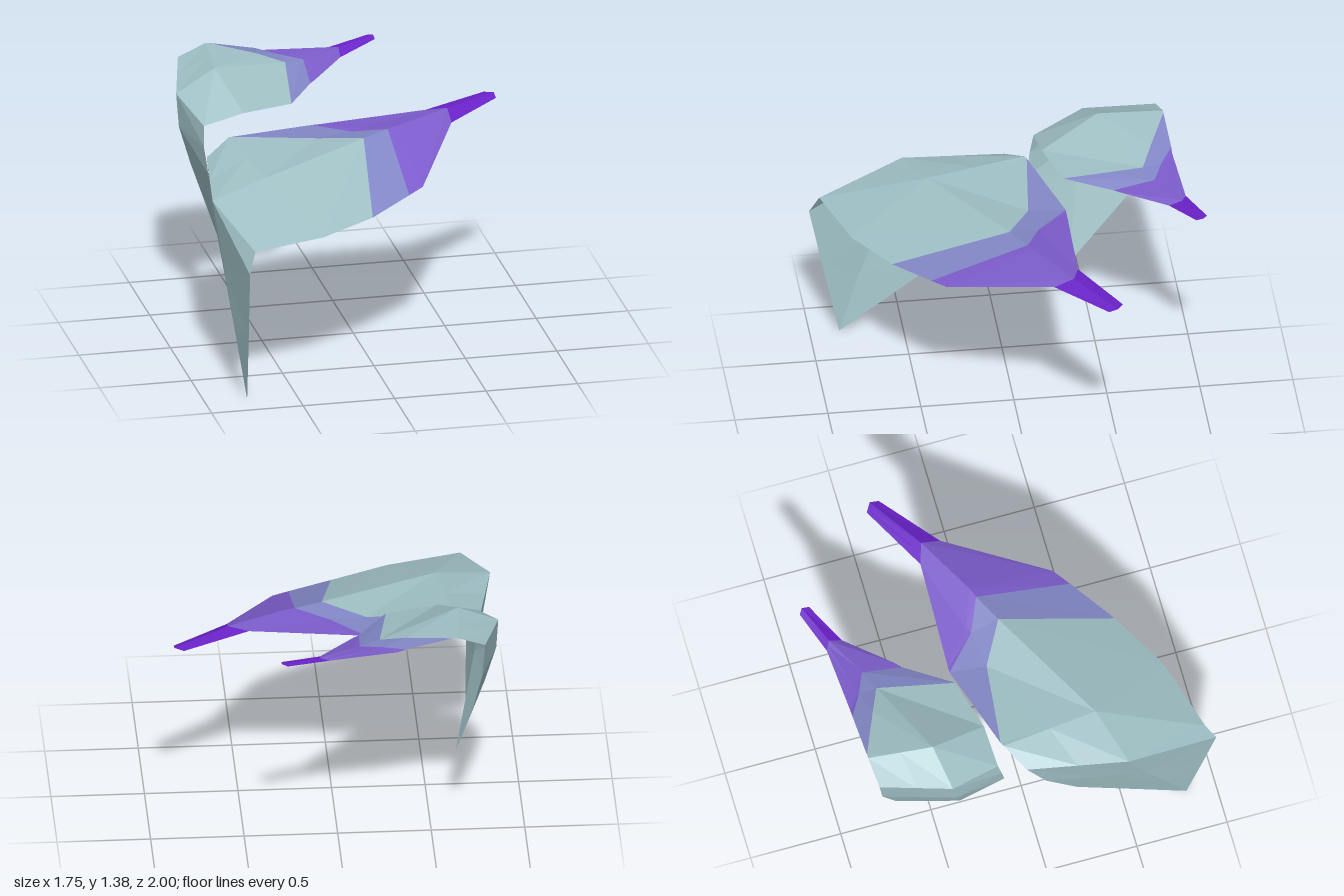
import * as THREE from 'three';

const mat = (name, color) => new THREE.MeshStandardMaterial({ name, color, side: THREE.DoubleSide, flatShading: true });

// Cross-sections from stem end to drooping tip: back edge, (inner fold), midrib, front edge.
const largeLeaf = [
  [[0.82, 1.13, -0.48], [0.87, 1.135, -0.45], [0.87, 1.12, -0.4]],
  [[0.46, 1.13, -0.285], [0.57, 1.145, -0.25], [0.57, 1.1, -0.145]],
  [[-0.13, 1.09, -0.3], [0.06, 1.105, -0.15], [0.25, 1.135, -0.07], [0.29, 0.96, 0.4]],
  [[-0.16, 1.09, -0.3], [0.02, 1.1, -0.13], [0.2, 1.13, -0.05], [0.2, 0.945, 0.47]],
  [[-0.63, 1.118, -0.15], [-0.18, 1.09, -0.1], [0.05, 1.12, 0.03], [-0.04, 0.905, 0.65]],
  [[-0.65, 1.12, -0.14], [-0.58, 1.075, 0.39], [-0.35, 0.885, 0.83]],
  [[-0.79, 1.05, -0.05], [-0.88, 1.01, 0.49], [-0.75, 0.88, 0.95]],
  [[-0.78, 0.77, 0.06], [-0.84, 0.65, 0.6], [-0.79, 0.77, 1.0]],
  [[-0.75, 0.46, 0.24], [-0.81, 0.35, 0.72], [-0.78, 0.4, 0.925]],
  [[-0.77, 0, 0.84]],
];
const smallLeaf = [
  [[0.3, 1.305, -1.0], [0.33, 1.31, -0.98], [0.33, 1.3, -0.94]],
  [[0.07, 1.285, -0.915], [0.12, 1.29, -0.89], [0.115, 1.26, -0.82]],
  [[-0.3, 1.31, -0.89], [-0.19, 1.3, -0.83], [-0.07, 1.285, -0.78], [-0.08, 1.235, -0.58]],
  [[-0.34, 1.325, -0.89], [-0.22, 1.305, -0.82], [-0.1, 1.285, -0.77], [-0.11, 1.23, -0.55]],
  [[-0.59, 1.378, -0.88], [-0.35, 1.335, -0.78], [-0.21, 1.295, -0.72], [-0.27, 1.22, -0.3]],
  [[-0.61, 1.38, -0.88], [-0.64, 1.37, -0.53], [-0.55, 1.22, -0.22]],
  [[-0.765, 1.32, -0.86], [-0.86, 1.26, -0.48], [-0.77, 1.17, -0.205]],
  [[-0.75, 1.12, -0.84], [-0.85, 1.08, -0.46], [-0.775, 1.06, -0.185]],
  [[-0.7, 0.85, -0.75], [-0.79, 0.87, -0.44], [-0.755, 0.91, -0.165]],
  [[-0.64, 0.42, -0.38]],
];

// Expand every section to four points.
function expand(row) {
  const p = row.map(c => new THREE.Vector3(...c));
  if (p.length === 1) return [p[0], p[0], p[0], p[0]];
  if (p.length === 3) p.splice(1, 0, p[0].clone().lerp(p[1], 0.5));
  return p;
}

// Faceted sheet lofted through consecutive sections.
function loft(rows) {
  const pts = [];
  const tri = (a, b, c) => {
    if (!a.equals(b) && !b.equals(c) && !a.equals(c)) pts.push(a, b, c);
  };
  for (let i = 0; i + 1 < rows.length; i++) {
    for (let j = 0; j < 3; j++) {
      const a = rows[i][j], b = rows[i][j + 1], c = rows[i + 1][j + 1], d = rows[i + 1][j];
      tri(a, d, c);
      tri(a, c, b);
    }
  }
  const geo = new THREE.BufferGeometry().setFromPoints(pts);
  geo.computeVertexNormals();
  return geo;
}

export function createModel() {
  // Colour bands along the leaf: name, material, first and last section
  const bands = [
    ['stem', mat('violet', 0x6a22c8), 0, 1],
    ['leafBase', mat('purple', 0x7c5ccb), 1, 3],
    ['leafTransition', mat('periwinkle', 0x8287c6), 3, 4],
    ['leafBlade', mat('paleTeal', 0x9fc0c5), 4, 6],
  ];
  bands.push(['droopingTip', bands[3][1], 6, 9]);

  const model = new THREE.Group();
  model.name = 'leaves';
  for (const [name, sections] of [['largeLeaf', largeLeaf], ['smallLeaf', smallLeaf]]) {
    const leaf = new THREE.Group();
    leaf.name = name;
    const rows = sections.map(expand);
    for (const [part, material, from, to] of bands) {
      const mesh = new THREE.Mesh(loft(rows.slice(from, to + 1)), material);
      mesh.name = part;
      leaf.add(mesh);
    }
    model.add(leaf);
  }
  return model;
}
